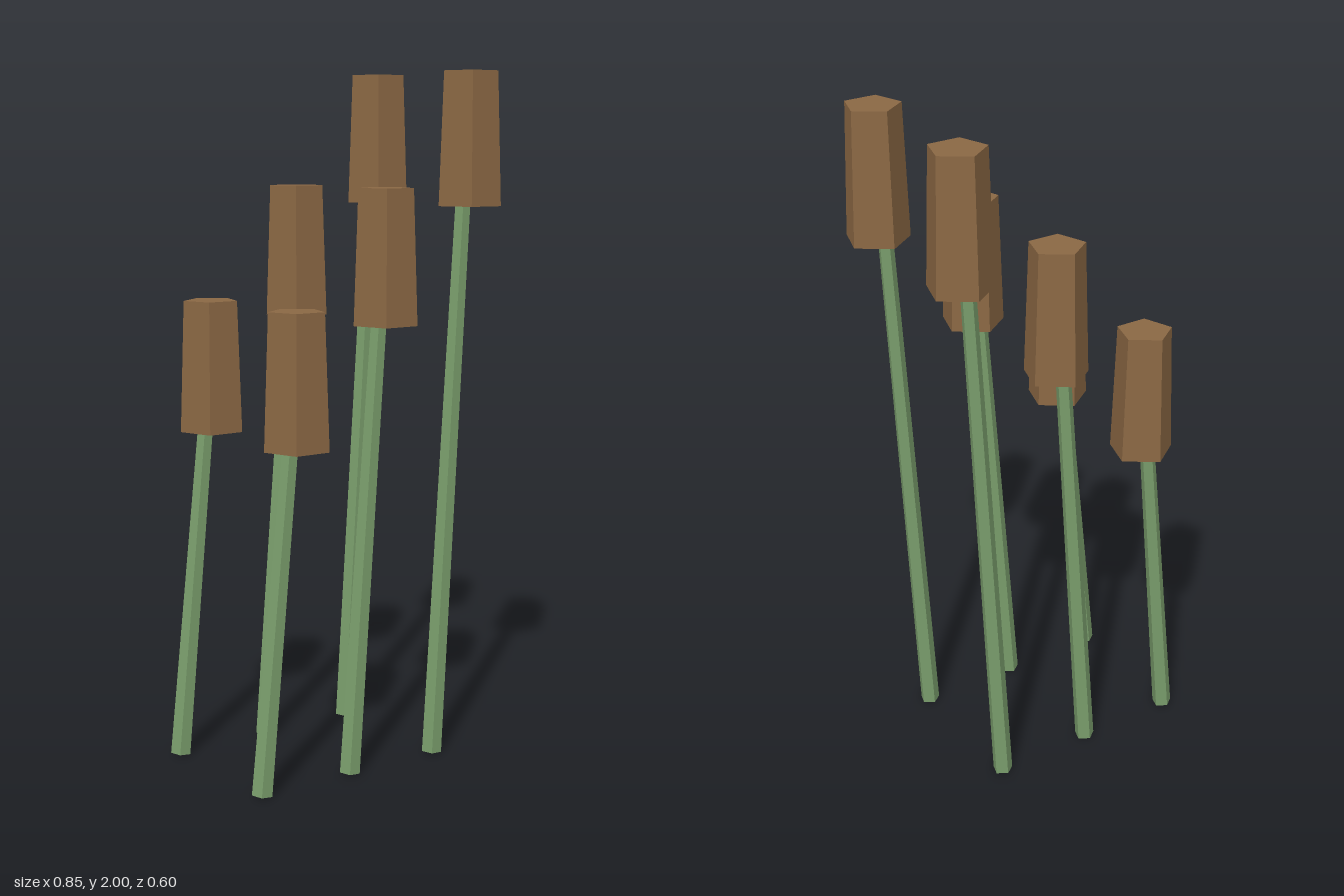
import * as THREE from 'three';

const SIDES = 5;
const HEAD_HEIGHT = 0.383;

const stemMaterial = new THREE.MeshStandardMaterial({ color: 0x7a9e6c, flatShading: true });
const headMaterial = new THREE.MeshStandardMaterial({ color: 0x8b6844, flatShading: true });

// Tapered five-sided prism with one corner pointing to the back
function prism(name, topRadius, bottomRadius, height, material) {
  const geometry = new THREE.CylinderGeometry(topRadius, bottomRadius, height, SIDES, 1, false, Math.PI);
  const mesh = new THREE.Mesh(geometry, material);
  mesh.name = name;
  return mesh;
}

// One reed: leaning stem with an upright seed head
function createReed(headX, headBottom) {
  const reed = new THREE.Group();
  reed.name = 'reed';

  // Stem runs from the ground to a hidden end inside the head
  const foot = new THREE.Vector3(headX - 0.122, 0.003, 0);
  const exit = new THREE.Vector3(headX - 0.024, headBottom, 0);
  const tip = foot.clone().lerp(exit, 1 + 0.15 / headBottom);
  const axis = tip.clone().sub(foot);
  const stem = prism('stem', 0.022, 0.03, axis.length(), stemMaterial);
  stem.position.copy(foot).add(tip).multiplyScalar(0.5);
  stem.rotation.z = -Math.atan2(axis.x, axis.y);

  const head = prism('seedHead', 0.081, 0.094, HEAD_HEIGHT, headMaterial);
  head.position.set(headX, headBottom + HEAD_HEIGHT / 2, 0);

  reed.add(stem, head);
  return reed;
}

export function createModel() {
  const model = new THREE.Group();
  model.name = 'reeds';

  // Two rows of three, rising towards the left
  for (const z of [-0.207, 0.222]) {
    for (let i = 0; i < 3; i++) {
      const reed = createReed(-0.276 + i * 0.3055, 0.963 + i * 0.327);
      reed.position.z = z;
      model.add(reed);
    }
  }
  return model;
}
